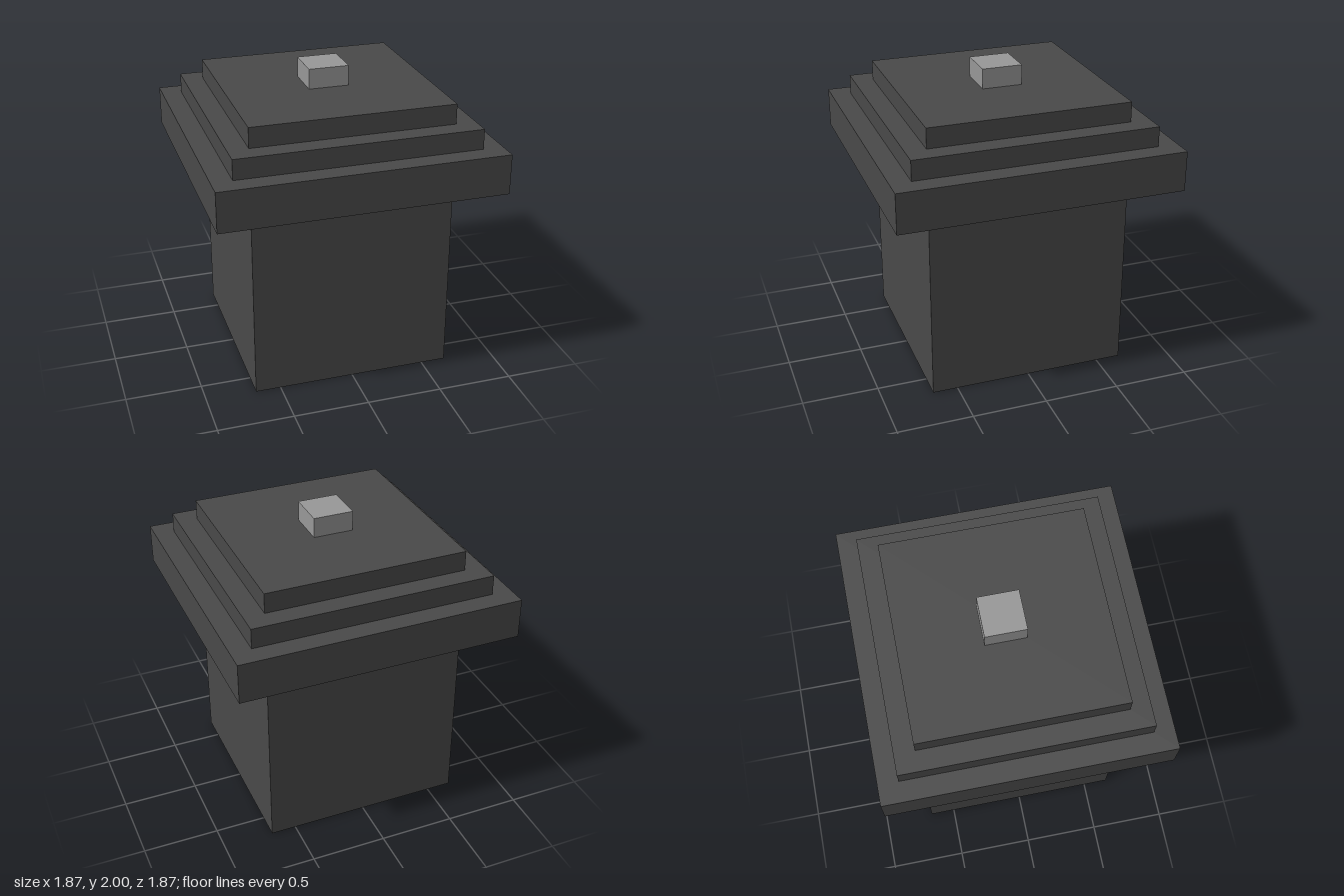
import * as THREE from 'three';

const U = 2 / 15; // one grid unit

export function createModel() {
  const group = new THREE.Group();
  group.name = 'steppedLidBin';

  const darkGrey = new THREE.MeshStandardMaterial({ color: 0x4a4a4a });
  darkGrey.name = 'dark grey';
  const lightGrey = new THREE.MeshStandardMaterial({ color: 0x999999 });
  lightGrey.name = 'light grey';

  // Square tiers from the ground up: name, width, height (grid units), material
  const tiers = [
    ['body', 10, 10, darkGrey],
    ['lidRim', 14, 2, darkGrey],
    ['lidStep', 12, 1, darkGrey],
    ['lidTop', 10, 1, darkGrey],
    ['handle', 2, 1, lightGrey],
  ];

  let y = 0;
  for (const [name, width, height, material] of tiers) {
    const mesh = new THREE.Mesh(new THREE.BoxGeometry(width * U, height * U, width * U), material);
    mesh.name = name;
    mesh.position.y = (y + height / 2) * U;
    group.add(mesh);
    y += height;
  }

  return group;
}
